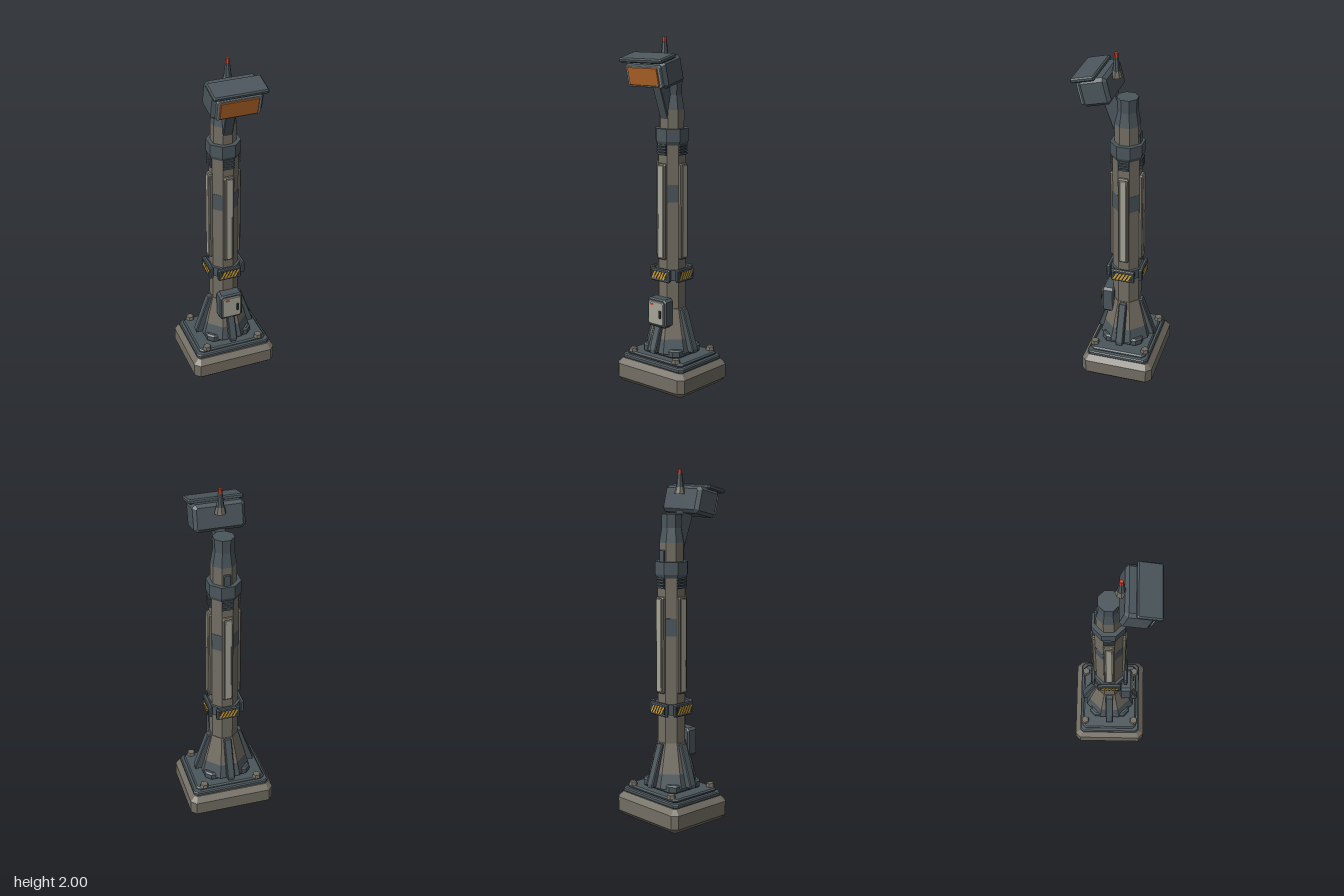
import * as THREE from 'three';

const mat = (name, color, extra = {}) => {
  const m = new THREE.MeshStandardMaterial({ color, flatShading: true, ...extra });
  m.name = name;
  return m;
};

export function createModel() {
  const slate = mat('slate metal', 0x4b565c);
  const stone = mat('weathered grey', 0x736e63);
  const pale = mat('pale panel', 0xa5a498);
  const steel = mat('lens frame steel', 0x7f919a);
  const orange = mat('orange lens', 0xb8682a);
  const yellow = mat('warning yellow', 0xd6a12c);
  const red = mat('signal red', 0xd2432a);
  const black = mat('dark trim', 0x2b3134);

  const model = new THREE.Group();
  model.name = 'signalPost';
  const post = new THREE.Group(); // everything centred on the column axis
  post.name = 'post';
  post.position.z = -0.03;
  model.add(post);

  const add = (parent, name, geo, material, x = 0, y = 0, z = 0) => {
    const m = new THREE.Mesh(geo, material);
    m.name = name;
    m.position.set(x, y, z);
    parent.add(m);
    return m;
  };

  const extrude = (points, depth, bevel = 0) => new THREE.ExtrudeGeometry(
    new THREE.Shape(points.map(p => new THREE.Vector2(p[0], p[1]))),
    { depth: depth - 2 * bevel, bevelEnabled: bevel > 0, bevelThickness: bevel, bevelSize: bevel, bevelOffset: -bevel, bevelSegments: 1 }
  ).translate(0, 0, bevel - depth / 2);

  // Centred block, w by h with cut corners, bevelled front and back
  const block = (w, h, d, cut, bevel) => {
    const a = w / 2, b = h / 2, c = cut;
    return extrude([[a, -b + c], [a, b - c], [a - c, b], [-a + c, b], [-a, b - c], [-a, -b + c], [-a + c, -b], [a - c, -b]], d, bevel);
  };
  const slab = (w, d, h, cut, bevel) => block(w, d, h, cut, bevel).rotateX(-Math.PI / 2);

  // Octagonal section with flats facing the axes; sizes are half widths
  const oct = (name, r0, r1, y0, y1, material, open = false) => {
    const k = 1 / Math.cos(Math.PI / 8);
    const g = new THREE.CylinderGeometry(r1 * k, r0 * k, y1 - y0, 8, 1, open).rotateY(Math.PI / 8);
    return add(post, name, g, material, 0, (y0 + y1) / 2, 0);
  };

  // Foundation and stepped plates
  add(post, 'foundation', slab(0.51, 0.43, 0.14, 0.03, 0.03), stone, 0, 0.07);
  add(post, 'lowerPlate', slab(0.46, 0.37, 0.026, 0.02, 0.006), slate, 0, 0.153);
  add(post, 'upperPlate', slab(0.42, 0.335, 0.022, 0.02, 0.008), slate, 0, 0.175);
  add(post, 'footCollar', slab(0.275, 0.24, 0.05, 0.03, 0.01), slate, 0, 0.21);
  for (const x of [-0.163, 0.163]) for (const z of [-0.155, 0.153]) {
    add(post, 'anchorBolt', new THREE.CylinderGeometry(0.022, 0.027, 0.022, 6).rotateY(Math.PI / 6), stone, x, 0.195, z);
  }

  // Column
  oct('skirtLower', 0.145, 0.123, 0.21, 0.29, slate);
  oct('skirtUpper', 0.123, 0.08, 0.29, 0.46, stone);
  oct('shaft', 0.077, 0.077, 0.45, 1.43, stone);
  oct('bandCollar', 0.092, 0.092, 0.63, 0.69, slate);
  oct('topCollar', 0.09, 0.09, 1.425, 1.495, slate);
  oct('topCollarLip', 0.082, 0.09, 1.405, 1.425, slate);
  oct('neckLower', 0.067, 0.067, 1.49, 1.6, stone);
  oct('neckTaper', 0.067, 0.054, 1.6, 1.68, slate);
  oct('neckTop', 0.054, 0.056, 1.68, 1.757, slate);

  // Fittings repeated on all four sides
  const gusset = [[0.06, 0.21], [0.172, 0.21], [0.172, 0.232], [0.096, 0.455], [0.06, 0.455]];
  for (let i = 0; i < 4; i++) {
    const side = new THREE.Group();
    side.name = 'columnSide';
    side.rotation.y = i * Math.PI / 2;
    post.add(side);

    const reach = i % 2 ? 0.008 : 0;
    add(side, 'gusset', extrude(gusset.map(([r, y]) => [r + reach, y]), 0.046, 0.005).rotateY(-Math.PI / 2), slate);

    add(side, 'panelFrame', block(0.062, 0.55, 0.024, 0.008, 0.006), stone, 0, 1.025, 0.083);
    add(side, 'panelStrip', block(0.036, 0.53, 0.008, 0.004, 0.002), pale, 0, 1.025, 0.095);
    for (let k = 0; k < 4; k++) {
      add(side, 'ventSlat', new THREE.BoxGeometry(0.06, 0.01, 0.02), slate, 0, 1.355 + k * 0.016, 0.08);
    }
    add(side, 'ventBack', new THREE.BoxGeometry(0.06, 0.07, 0.006), black, 0, 1.38, 0.077);

    // Warning plate with slanted stripes
    add(side, 'warningPlate', block(0.14, 0.075, 0.022, 0.006, 0.005), slate, 0, 0.66, 0.096);
    add(side, 'warningField', new THREE.BoxGeometry(0.116, 0.046, 0.003), black, 0, 0.66, 0.1075);
    for (let k = 0; k < 5; k++) {
      const s = extrude([[-0.018, -0.022], [-0.006, -0.022], [0.018, 0.022], [0.006, 0.022]], 0.003);
      add(side, 'warningStripe', s, yellow, (k - 2) * 0.02, 0.66, 0.109);
    }

    // Worn patch on each diagonal face
    const patch = new THREE.Group();
    patch.name = 'wornPatch';
    patch.rotation.y = Math.PI / 4;
    side.add(patch);
    add(patch, 'patch', new THREE.BoxGeometry(0.062, 0.1, 0.003), slate, 0, 1.13, 0.077);
  }
  add(post, 'rearClip', block(0.04, 0.07, 0.02, 0.004, 0.003), slate, 0, 1.525, -0.067);

  // Control cabinet on the front
  const cabinet = new THREE.Group();
  cabinet.name = 'controlCabinet';
  cabinet.position.set(0, 0.443, 0.07);
  model.add(cabinet);
  add(cabinet, 'cabinetBody', block(0.14, 0.168, 0.07, 0.014, 0.008), slate);
  add(cabinet, 'cabinetDoor', block(0.114, 0.138, 0.012, 0.01, 0.004), pale, 0, 0, 0.037);
  add(cabinet, 'cabinetHandle', block(0.016, 0.045, 0.01, 0.004, 0.002), black, 0.035, -0.002, 0.046);
  add(cabinet, 'cabinetLabel', new THREE.BoxGeometry(0.026, 0.01, 0.004), red, -0.026, 0.05, 0.043);

  // Leaning bracket carrying the head
  const lean = [[0.02, 1.52], [0.03, 1.53], [0.103, 1.73], [0.1, 1.79], [0.04, 1.79], [-0.01, 1.68], [-0.02, 1.55]];
  add(model, 'headBracket', extrude(lean.map(([z, y]) => [-z, y]).reverse(), 0.058, 0.004).rotateY(Math.PI / 2), slate);

  // Lamp head, tipped forward
  const head = new THREE.Group();
  head.name = 'lampHead';
  head.position.set(0, 1.819, 0.114);
  head.rotation.x = 0.24;
  model.add(head);
  add(head, 'housing', block(0.286, 0.152, 0.16, 0.018, 0.018), slate);
  add(head, 'lensFrame', block(0.25, 0.124, 0.026, 0.01, 0.004), steel, 0, -0.006, 0.08);
  add(head, 'lens', block(0.214, 0.102, 0.02, 0.003, 0.003), orange, 0, -0.006, 0.091);
  add(head, 'visor', slab(0.304, 0.135, 0.026, 0.008, 0.007), slate, 0, 0.083, 0.042);

  // Aerial behind the head
  const aerial = new THREE.Group();
  aerial.name = 'aerial';
  aerial.position.set(0, 0, 0.033);
  model.add(aerial);
  const cone = (name, r0, r1, y0, y1, m) =>
    add(aerial, name, new THREE.CylinderGeometry(r1, r0, y1 - y0, 8), m, 0, (y0 + y1) / 2);
  cone('aerialBase', 0.033, 0.023, 1.862, 1.9, stone);
  cone('aerialMast', 0.022, 0.013, 1.9, 1.975, slate);
  cone('aerialTip', 0.013, 0.01, 1.975, 2, red);

  return model;
}
